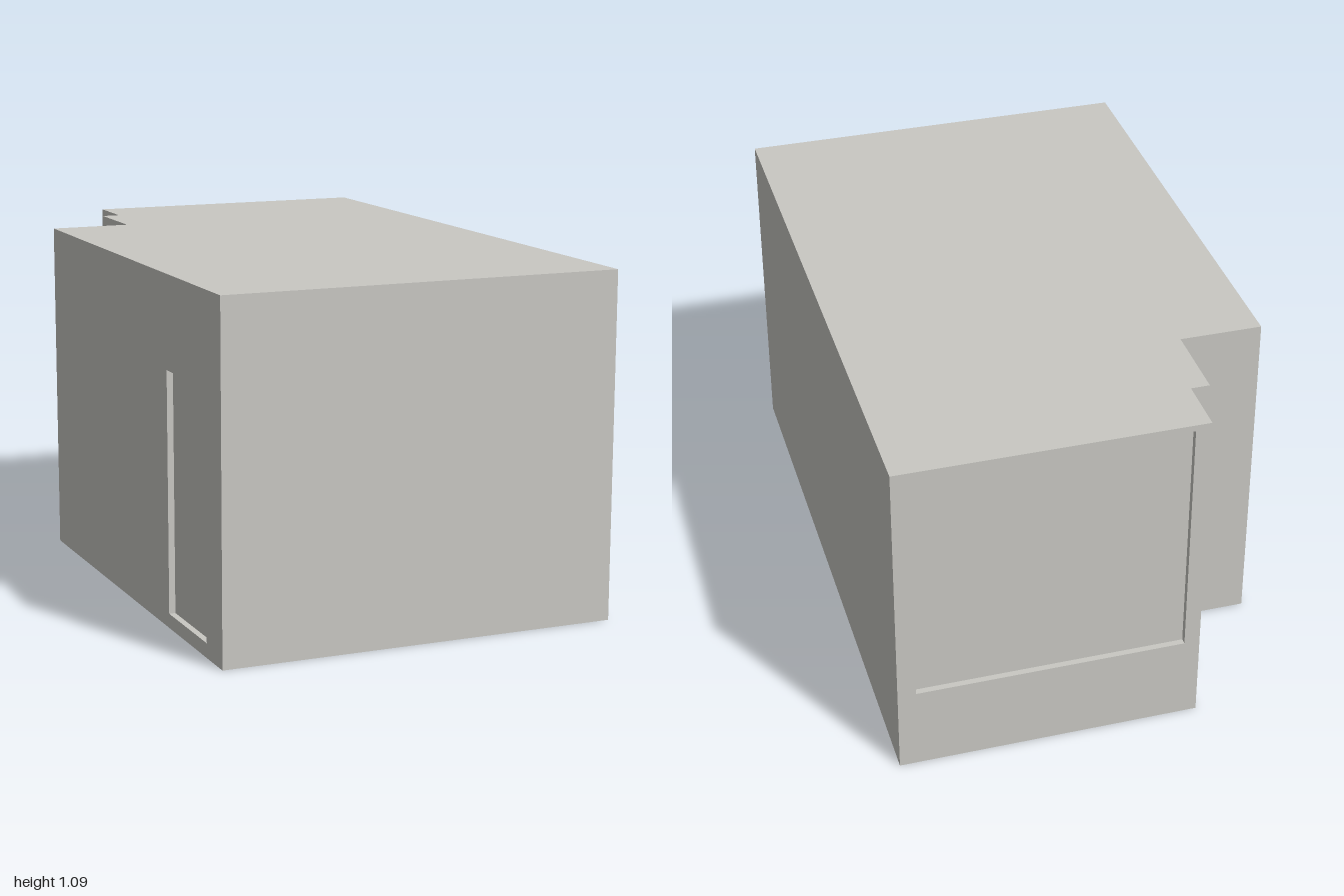
import * as THREE from 'three';

const HEIGHT = 1.09;
const WALL = 0.02; // wall thickness, also the depth of the recesses

// Footprint corners [x, z], counter-clockwise seen from above
const FOOTPRINT = [
  [-0.637, 1], [0.637, 1], [0.637, -1], [-0.317, -1],
  [-0.317, -0.816], [-0.376, -0.816], [-0.376, -0.556], [-0.637, -0.556],
];

// One wall per footprint edge; openings are [from, bottom, to, top] along the wall
const WALLS = [
  { name: 'frontWall' },
  { name: 'leftWall' },
  { name: 'backWall', opening: [0.057, 0.275, 0.905, 1.07], infill: 'backWindow' },
  { name: 'notchOuterWall' },
  { name: 'notchStep' },
  { name: 'notchInnerWall' },
  { name: 'notchBackWall' },
  { name: 'rightWall', opening: [1.11, 0.045, 1.43, 0.8], infill: 'sideDoor' },
];

function rectPoints(x0, y0, x1, y1) {
  return [[x0, y0], [x1, y0], [x1, y1], [x0, y1]].map(([x, y]) => new THREE.Vector2(x, y));
}

export function createModel() {
  const model = new THREE.Group();
  model.name = 'building';
  const plaster = new THREE.MeshStandardMaterial({ color: 0xc9c8c3 });
  plaster.name = 'warm grey';

  function add(parent, name, geometry) {
    const mesh = new THREE.Mesh(geometry, plaster);
    mesh.name = name;
    parent.add(mesh);
    return mesh;
  }

  // Walls, each laid out flat and turned to follow its edge, with its recess
  WALLS.forEach(({ name, opening, infill }, i) => {
    const [ax, az] = FOOTPRINT[i];
    const [bx, bz] = FOOTPRINT[(i + 1) % FOOTPRINT.length];
    const length = Math.hypot(bx - ax, bz - az);
    const side = new THREE.Group();
    side.name = name + 'Group';
    side.position.set(ax, 0, az);
    side.rotation.y = Math.atan2(az - bz, bx - ax);
    model.add(side);

    const shape = new THREE.Shape(rectPoints(0, 0, length, HEIGHT));
    if (opening) {
      const points = rectPoints(...opening);
      shape.holes.push(new THREE.Path(points));
      add(side, infill, new THREE.ShapeGeometry(new THREE.Shape(points))).position.z = -WALL;
    }
    const wall = new THREE.ExtrudeGeometry(shape, { depth: WALL, bevelEnabled: false });
    add(side, name, wall.translate(0, 0, -WALL));
  });

  // Flat roof and floor follow the footprint
  const plan = (flip) => new THREE.Shape(
    FOOTPRINT.map(([x, z]) => new THREE.Vector2(x, flip * z)));
  add(model, 'roof', new THREE.ShapeGeometry(plan(-1)).rotateX(-Math.PI / 2)).position.y = HEIGHT;
  add(model, 'floor', new THREE.ShapeGeometry(plan(1)).rotateX(Math.PI / 2));

  return model;
}
